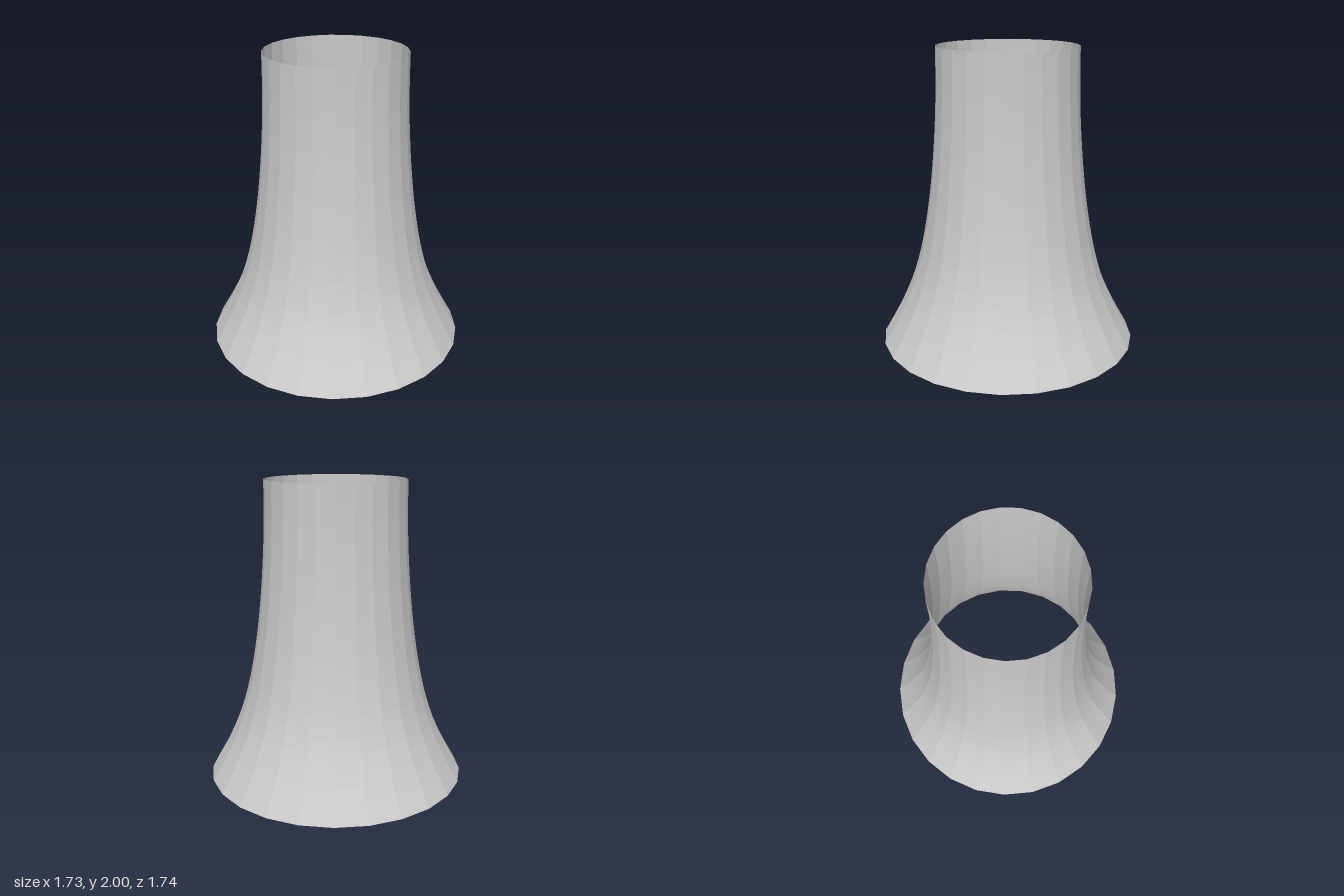
import * as THREE from 'three';

export function createModel() {
  const group = new THREE.Group();
  group.name = 'flaredTower';

  // Profile: radius against height, wide foot easing into a straight neck
  const profile = new THREE.SplineCurve([
    [0.87, 0], [0.758, 0.2], [0.667, 0.4], [0.604, 0.6], [0.561, 0.8], [0.529, 1],
    [0.505, 1.2], [0.487, 1.4], [0.474, 1.6], [0.467, 1.8], [0.465, 2],
  ].map(([r, y]) => new THREE.Vector2(r, y)));

  // Open 25-sided shell, one corner pointing to -x
  const shell = new THREE.Mesh(
    new THREE.LatheGeometry(profile.getPoints(30), 25, -Math.PI / 2),
    new THREE.MeshStandardMaterial({ color: 0xcccccc, flatShading: true, side: THREE.DoubleSide }),
  );
  shell.name = 'towerShell';
  group.add(shell);
  return group;
}
